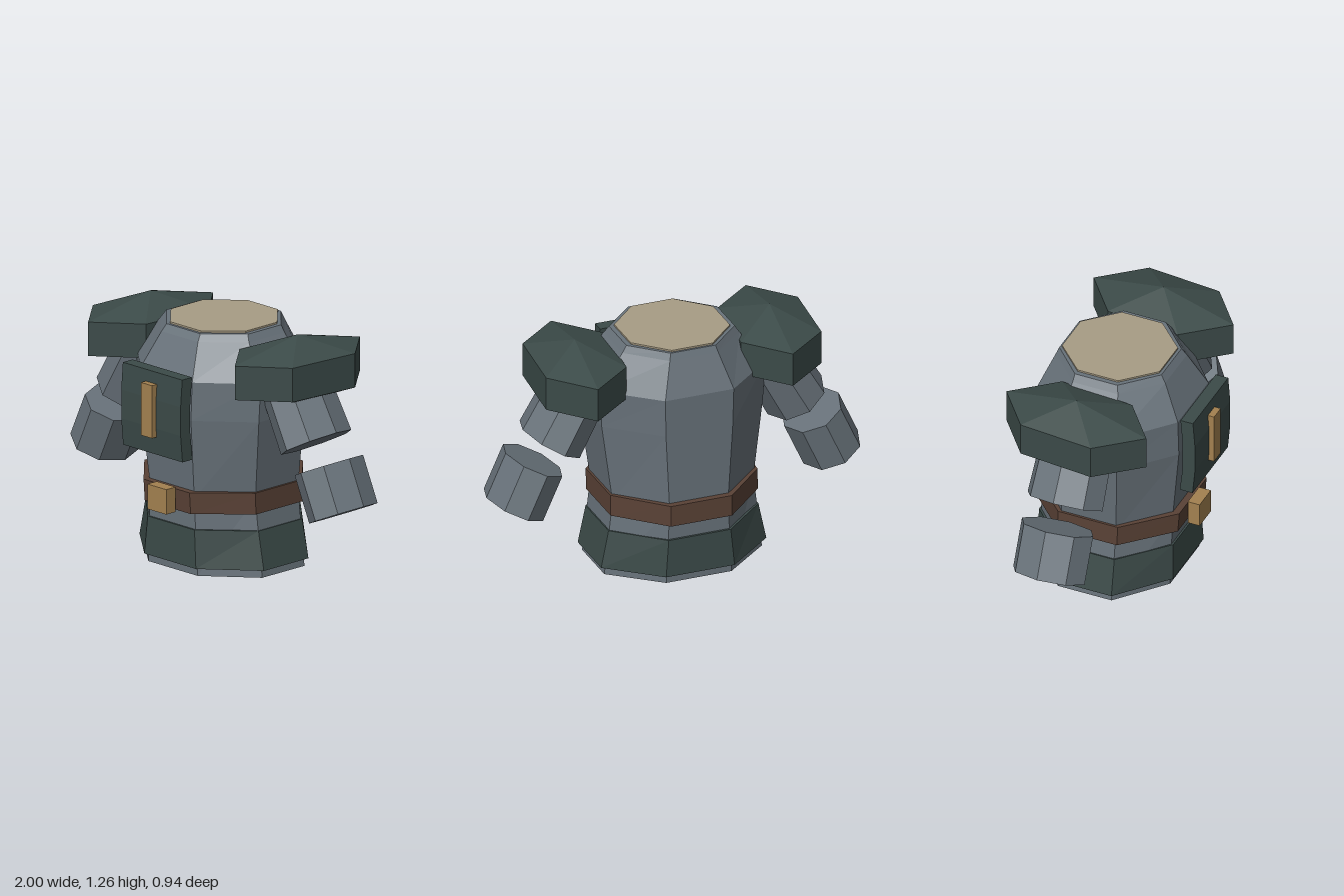
import * as THREE from 'three';

const mat = (name, color) => new THREE.MeshStandardMaterial({ name, color, flatShading: true });

// Octagonal loft with flat front; each ring is [y, halfWidth, frontZ, backZ]
function octLoft(rings) {
  const pos = [], idx = [], n = 8, k = 1 / Math.cos(Math.PI / n);
  for (const [y, hx, zf, zb] of rings) {
    for (let i = 0; i < n; i++) {
      const a = (i + 0.5) * Math.PI * 2 / n;
      pos.push(hx * k * Math.sin(a), y, (zf + zb) / 2 + (zf - zb) / 2 * k * Math.cos(a));
    }
  }
  for (let r = 0; r < rings.length - 1; r++) {
    for (let i = 0; i < n; i++) {
      const a = r * n + i, b = r * n + (i + 1) % n;
      idx.push(a, b, b + n, a, b + n, a + n);
    }
  }
  // End caps
  const top = (rings.length - 1) * n;
  for (let i = 1; i < n - 1; i++) idx.push(0, i + 1, i, top, top + i, top + i + 1);
  const g = new THREE.BufferGeometry();
  g.setAttribute('position', new THREE.Float32BufferAttribute(pos, 3));
  g.setIndex(idx);
  const flat = g.toNonIndexed();
  flat.computeVertexNormals();
  return flat;
}

export function createModel() {
  const model = new THREE.Group();
  model.name = 'armouredTorso';
  const steel = mat('steel', 0x68727a);
  const green = mat('darkGreen', 0x3b4a48);
  const leather = mat('leather', 0x5a4236);
  const brass = mat('brass', 0xa38150);
  const cream = mat('cream', 0xa89d85);
  const midZ = -0.065;

  const add = (name, geometry, material) => {
    const mesh = new THREE.Mesh(geometry, material);
    mesh.name = name;
    model.add(mesh);
    return mesh;
  };
  const box = (name, material, w, h, d, x, y, z) =>
    add(name, new THREE.BoxGeometry(w, h, d), material).position.set(x, y, z);

  // Body, neck opening and the bands around it
  add('torso', octLoft([
    [0, 0.425, 0.29, -0.42],
    [0.4, 0.38, 0.295, -0.42],
    [0.82, 0.435, 0.34, -0.427],
    [1.02, 0.445, 0.336, -0.43],
    [1.2, 0.315, 0.243, -0.357],
    [1.236, 0.292, 0.217, -0.343],
  ]), steel);
  add('neckPlate', octLoft([[1.23, 0.267, 0.202, -0.332], [1.245, 0.267, 0.202, -0.332]]), cream);
  add('skirt', octLoft([[0.042, 0.445, 0.31, -0.44], [0.24, 0.404, 0.303, -0.432]]), green);
  add('belt', octLoft([[0.328, 0.397, 0.327, -0.455], [0.44, 0.397, 0.335, -0.455]]), leather);
  box('buckle', brass, 0.135, 0.13, 0.065, 0, 0.385, 0.37);

  // Bowed chest plate, drawn in profile and extruded across
  const profile = new THREE.Shape([
    [0.36, 0.63], [0.43, 0.63], [0.443, 0.77], [0.443, 0.92], [0.432, 1.06],
    [0.364, 1.06], [0.376, 0.92], [0.376, 0.77],
  ].map(([z, y]) => new THREE.Vector2(z, y)));
  const plate = new THREE.ExtrudeGeometry(profile, { depth: 0.425, bevelEnabled: false });
  plate.rotateY(-Math.PI / 2);
  plate.translate(0.212, 0, 0);
  add('chestPlate', plate, green);
  box('chestInlay', brass, 0.08, 0.275, 0.04, -0.004, 0.8625, 0.451);

  // Eight-sided limb between two points, flattened to its own depth
  const limb = (name, from, to, rTop, rBottom, depth) => {
    const a = new THREE.Vector3(...from), b = new THREE.Vector3(...to);
    const g = new THREE.CylinderGeometry(rTop, rBottom, a.distanceTo(b), 8);
    g.scale(1, 1, depth / rBottom);
    const mesh = add(name, g, steel);
    mesh.position.copy(a).add(b).multiplyScalar(0.5);
    const d = a.sub(b).normalize();
    mesh.rotation.z = Math.atan2(-d.x, d.y);
  };

  for (const [side, s] of [['left', 1], ['right', -1]]) {
    limb(side + 'UpperArm', [s * 0.48, 1.05, midZ], [s * 0.66, 0.728, midZ], 0.155, 0.166, 0.205);
    limb(side + 'Forearm', [s * 0.751, 0.629, midZ], [s * 0.855, 0.4, midZ], 0.16, 0.16, 0.195);

    // Faceted shoulder guard
    const guard = add(side + 'ShoulderGuard',
      new THREE.SphereGeometry(1, 6, 3, Math.PI / 2, Math.PI * 2), green);
    guard.scale.set(0.28, 0.177, 0.464);
    guard.position.set(s * 0.525, 1.084, midZ);
    guard.rotation.y = -0.09;
  }
  return model;
}
